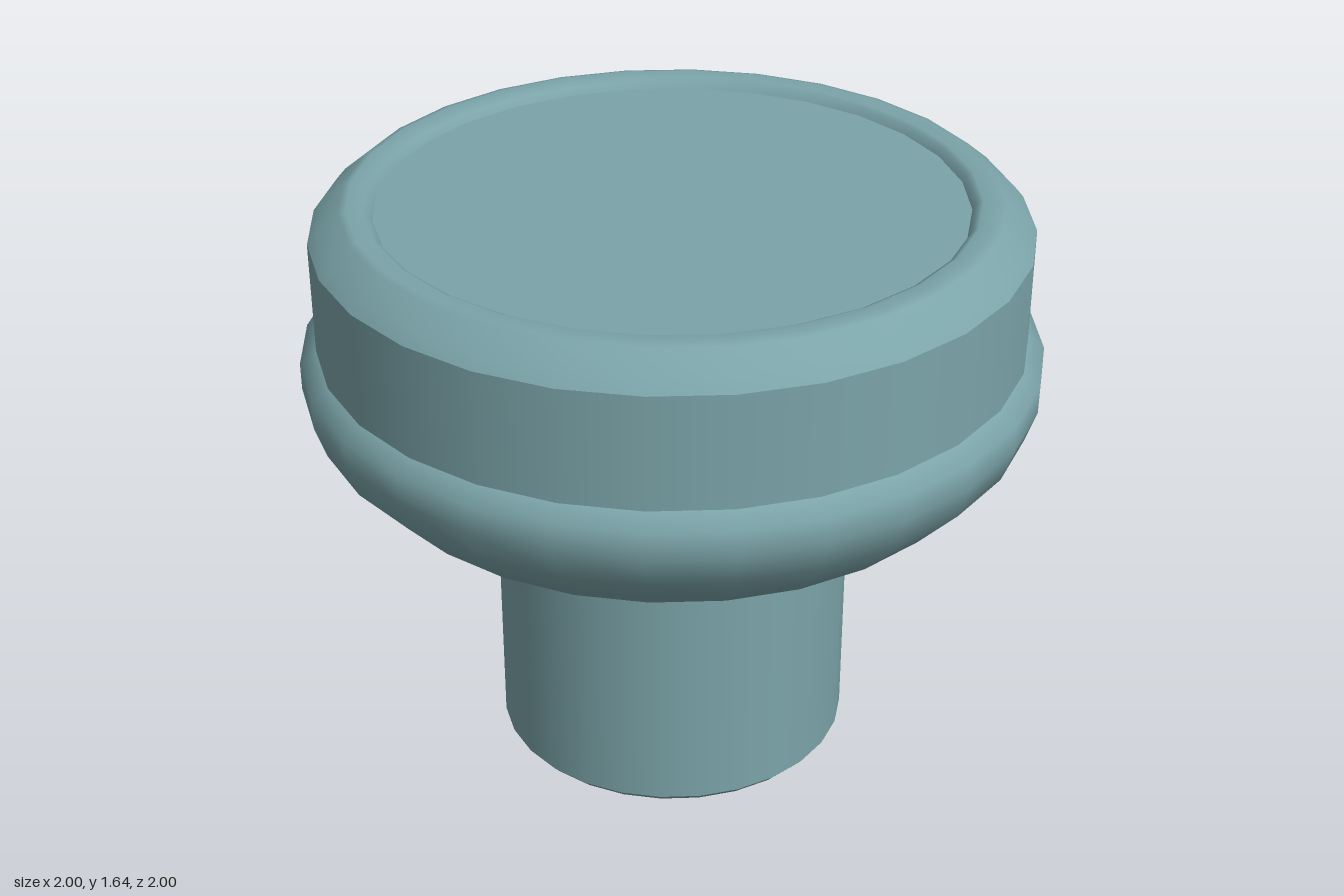
import * as THREE from 'three';

const SIDES = 28;

export function createModel() {
  const group = new THREE.Group();
  const material = new THREE.MeshStandardMaterial({ color: 0x7ba4a9, side: THREE.DoubleSide });

  // Each turned section is smooth inside and meets its neighbour at a crisp edge
  function turned(name, profile) {
    const points = profile.map(([r, y]) => new THREE.Vector2(r, y));
    const mesh = new THREE.Mesh(new THREE.LatheGeometry(points, SIDES), material);
    mesh.name = name;
    group.add(mesh);
  }

  // Hollow stem, open at the bottom, with a small chamfer at its foot
  turned('stemChamfer', [[0.46, 0], [0.475, 0.005], [0.493, 0.025]]);
  turned('stem', [[0.493, 0.025], [0.493, 0.74]]);

  // Flared underside rolling over into the widest ridge
  turned('bowl', [
    [0.493, 0.74], [0.85, 0.92], [0.97, 1.05], [1, 1.14], [1, 1.215], [0.955, 1.25],
  ]);

  // Straight side of the head
  turned('band', [[0.955, 1.25], [0.955, 1.56]]);

  // Bevelled rim that drops inward to the recessed face
  turned('rim', [
    [0.955, 1.56], [0.93, 1.59], [0.87, 1.64], [0.85, 1.645], [0.81, 1.643], [0.795, 1.635], [0.783, 1.615],
  ]);

  // Recessed top face
  const face = new THREE.Mesh(new THREE.CircleGeometry(0.783, SIDES), material);
  face.name = 'topFace';
  face.rotation.x = -Math.PI / 2;
  face.position.y = 1.615;
  group.add(face);

  return group;
}
